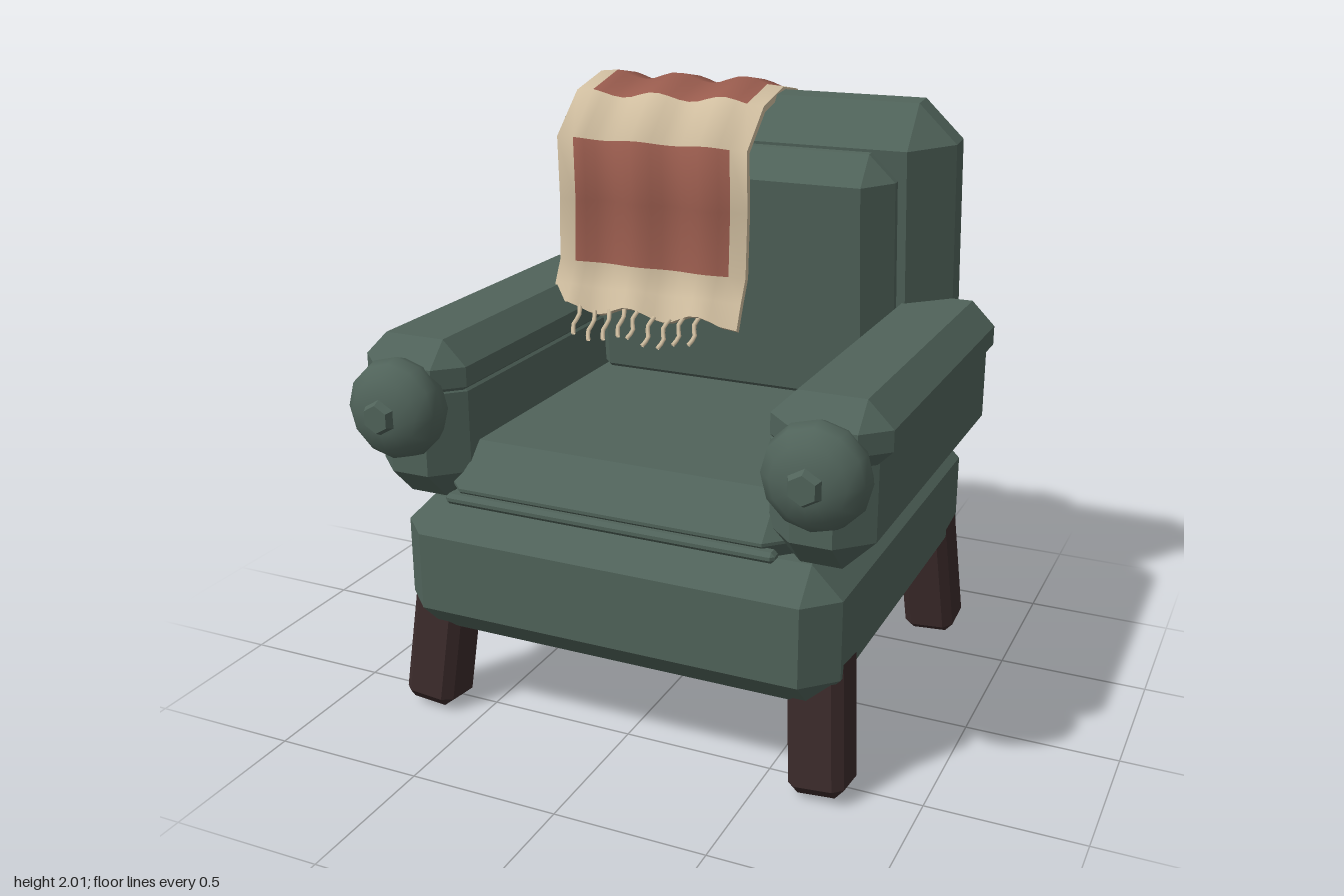
import * as THREE from 'three';
import { ConvexGeometry } from 'three/addons/geometries/ConvexGeometry.js';

const mat = (name, color, side = THREE.FrontSide) => {
  const m = new THREE.MeshStandardMaterial({ color, side });
  m.name = name;
  return m;
};

// Box with every edge and corner cut off by c
function chamferBox(w, h, d, c) {
  const pts = [];
  for (const x of [-w / 2, w / 2]) for (const y of [-h / 2, h / 2]) for (const z of [-d / 2, d / 2]) {
    const ix = x - Math.sign(x) * c, iy = y - Math.sign(y) * c, iz = z - Math.sign(z) * c;
    pts.push(new THREE.Vector3(x, iy, iz), new THREE.Vector3(ix, y, iz), new THREE.Vector3(ix, iy, z));
  }
  return new ConvexGeometry(pts);
}

// Grid surface from a point rule; pick(i, j) gives the material index of each cell
function gridSurface(nu, nv, point, pick, flip = false) {
  const pos = [], cells = [[], []];
  for (let i = 0; i <= nu; i++) for (let j = 0; j <= nv; j++) pos.push(...point(i, j).toArray());
  for (let i = 0; i < nu; i++) for (let j = 0; j < nv; j++) {
    const a = i * (nv + 1) + j, b = a + nv + 1;
    cells[pick(i, j)].push(...(flip ? [a, a + 1, b, b, a + 1, b + 1] : [a, b, a + 1, b, b + 1, a + 1]));
  }
  const g = new THREE.BufferGeometry();
  g.setAttribute('position', new THREE.Float32BufferAttribute(pos, 3));
  g.setIndex([...cells[0], ...cells[1]]);
  g.addGroup(0, cells[0].length, 0);
  g.addGroup(cells[0].length, cells[1].length, 1);
  g.computeVertexNormals();
  return g;
}

export function createModel() {
  const model = new THREE.Group();
  model.name = 'armchair';
  const green = mat('green upholstery', 0x50635a);
  const wood = mat('dark wood', 0x3a2a2a);
  const cream = mat('cream wool', 0xcfbd9f, THREE.DoubleSide);
  const red = mat('rust wool', 0x985b4d, THREE.DoubleSide);

  const add = (name, geometry, material, x = 0, y = 0, z = 0, parent = model) => {
    const m = new THREE.Mesh(geometry, material);
    m.name = name;
    m.position.set(x, y, z);
    parent.add(m);
    return m;
  };

  // Base, seat and piping
  add('base', chamferBox(1.5, 0.46, 1.48, 0.1), green, 0, 0.54, -0.06);
  add('seatCushion', chamferBox(1.28, 0.26, 1.2, 0.125), green, 0, 0.83, 0.04);
  add('seatPiping', chamferBox(1.12, 0.035, 0.05, 0.012), green, 0, 0.8, 0.635);

  // Backrest and its cushion lean slightly forward
  add('backrest', chamferBox(1.46, 1.2, 0.34, 0.13), green, 0, 1.37, -0.59).rotation.x = 0.1;
  add('backCushion', chamferBox(1.14, 0.92, 0.26, 0.09), green, 0, 1.355, -0.435).rotation.x = 0.1;

  // Arms with round front knobs
  const knobProfile = [[0.09, -0.09], [0.145, -0.055], [0.165, 0], [0.155, 0.045], [0.115, 0.085], [0.06, 0.105], [0, 0.11]]
    .map(([r, y]) => new THREE.Vector2(r, y));
  const knobGeo = new THREE.LatheGeometry(knobProfile, 12).rotateX(Math.PI / 2);
  const buttonGeo = new THREE.CylinderGeometry(0.045, 0.065, 0.04, 6).toNonIndexed().rotateX(Math.PI / 2);
  buttonGeo.computeVertexNormals();
  for (const s of [-1, 1]) {
    const arm = new THREE.Group();
    arm.name = s > 0 ? 'leftArm' : 'rightArm';
    model.add(arm);
    add('armBody', chamferBox(0.33, 0.47, 1.4, 0.1), green, s * 0.675, 1.005, -0.03, arm);
    add('armRest', chamferBox(0.37, 0.225, 1.29, 0.08), green, s * 0.695, 1.188, 0.01, arm);
    add('armKnob', knobGeo, green, s * 0.695, 1.095, 0.68, arm);
    add('knobButton', buttonGeo, green, s * 0.695, 1.095, 0.79, arm);
  }

  // Splayed legs
  const legGeo = chamferBox(0.18, 0.49, 0.18, 0.03);
  for (const s of [-1, 1]) for (const f of [-1, 1]) {
    const leg = add(f > 0 ? 'frontLeg' : 'backLeg', legGeo, wood, s * 0.675, 0.255, f > 0 ? 0.52 : -0.655);
    leg.rotation.set(-f * 0.13, 0, s * 0.08);
  }

  // Throw draped over the back: path as [z, y], columns across x
  const path = [[-0.15, 1.23], [-0.185, 1.3], [-0.225, 1.38], [-0.235, 1.6], [-0.225, 1.81], [-0.37, 1.94],
    [-0.55, 1.983], [-0.69, 1.96], [-0.745, 1.87], [-0.722, 1.61], [-0.7, 1.48]];
  const cols = [-0.6, -0.535];
  for (let i = 1; i <= 16; i++) cols.push(-0.535 + 0.575 * i / 16);
  cols.push(0.1);
  const nu = cols.length - 1, nv = path.length - 1;
  const sheetPoint = (i, j, side) => {
    const a = path[Math.max(j - 1, 0)], b = path[Math.min(j + 1, nv)];
    const dz = b[0] - a[0], dy = b[1] - a[1], len = Math.hypot(dz, dy);
    const wave = 0.015 * Math.cos(2 * Math.PI * (cols[i] + 0.3) / 0.255);
    const k = wave + side * 0.012;
    const sag = j === 0 ? wave : 0;
    return new THREE.Vector3(cols[i], path[j][1] - k * dz / len + sag, path[j][0] + k * dy / len);
  };
  const pick = (i, j) => {
    const inside = i > 0 && i < nu - 1;
    return inside && ((j >= 2 && j < 4) || (j >= 5 && j < 7) || j >= 8) ? 1 : 0;
  };
  const throwBlanket = new THREE.Group();
  throwBlanket.name = 'throwBlanket';
  model.add(throwBlanket);
  const wool = [cream, red];
  add('throwOuter', gridSurface(nu, nv, (i, j) => sheetPoint(i, j, 1), pick), wool, 0, 0, 0, throwBlanket);
  add('throwInner', gridSurface(nu, nv, (i, j) => sheetPoint(i, j, -1), pick, true), wool, 0, 0, 0, throwBlanket);
  for (const i of [0, nu])
    add('throwSideEdge', gridSurface(1, nv, (u, j) => sheetPoint(i, j, u ? 1 : -1), () => 0, i > 0), wool, 0, 0, 0, throwBlanket);
  for (const j of [0, nv])
    add('throwEndEdge', gridSurface(nu, 1, (i, v) => sheetPoint(i, j, v ? 1 : -1), () => 0, j > 0), wool, 0, 0, 0, throwBlanket);

  // Fringe along the front hem
  for (let i = 0; i < 9; i++) {
    const x = -0.495 + i * 0.058;
    const y = 0.015 * Math.cos(2 * Math.PI * (x + 0.3) / 0.255);
    const lean = i < 4 ? 0.012 : -0.012;
    const curve = new THREE.CatmullRomCurve3([
      new THREE.Vector3(x, 1.24 + y, -0.15), new THREE.Vector3(x + lean, 1.21 + y, -0.12),
      new THREE.Vector3(x, 1.18 + y, -0.1), new THREE.Vector3(x + lean, 1.155 + y, -0.075)]);
    add('fringeStrand', new THREE.TubeGeometry(curve, 6, 0.008, 5), cream, 0, 0, 0, throwBlanket);
  }
  return model;
}
